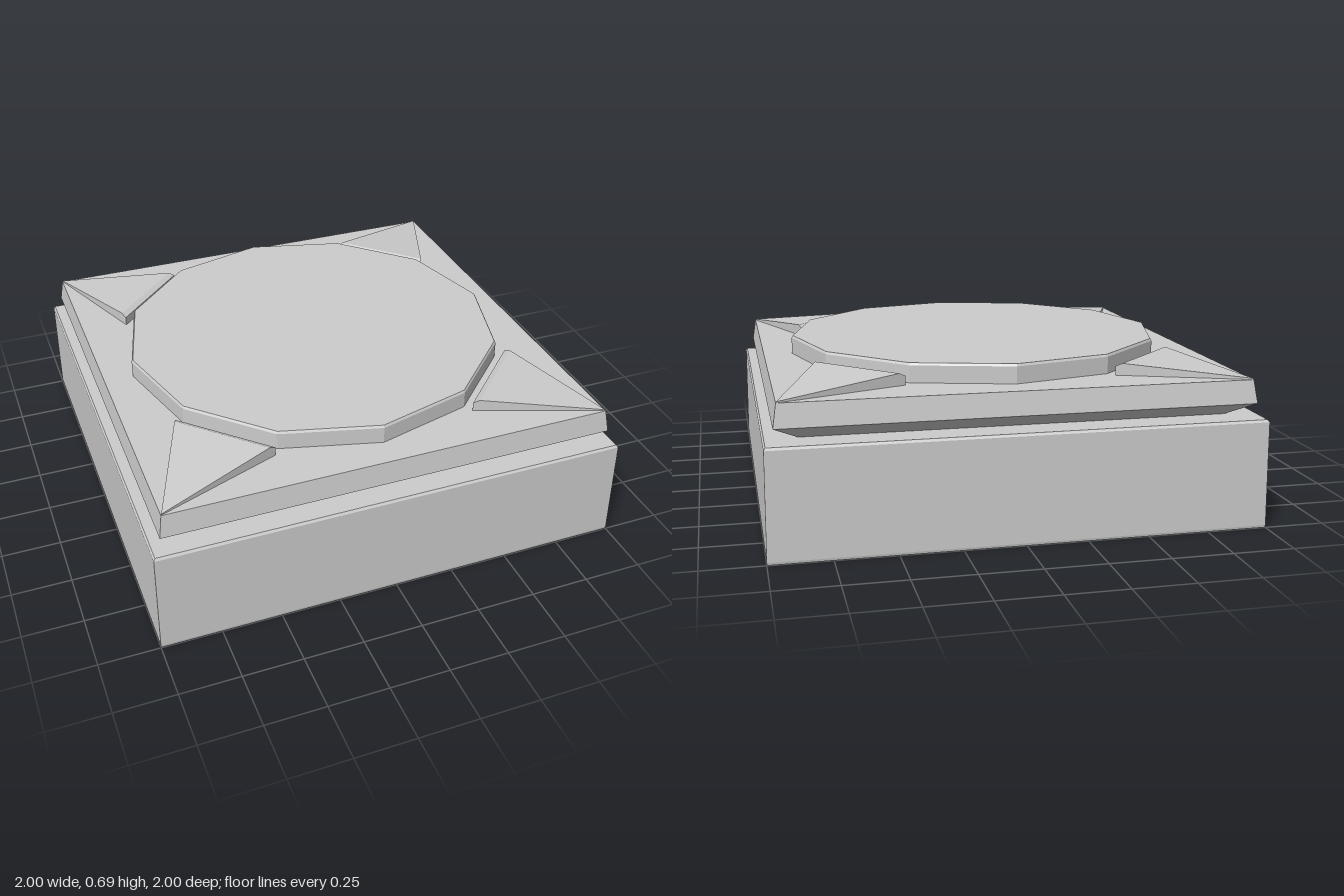
import * as THREE from 'three';
import { ConvexGeometry } from 'three/addons/geometries/ConvexGeometry.js';

const material = new THREE.MeshStandardMaterial({ color: 0xcccccc });

// Faceted turned solid: profile of [radius, y] from bottom to top
function faceted(name, profile, sides, phiStart = 0, scale = 1) {
  const points = profile.map(([r, y]) => new THREE.Vector2(r * scale, y));
  const geometry = new THREE.LatheGeometry(points, sides, phiStart).toNonIndexed();
  geometry.computeVertexNormals();
  const mesh = new THREE.Mesh(geometry, material);
  mesh.name = name;
  return mesh;
}

// Square solid: profile of [half width, y]
const square = (name, profile) => faceted(name, profile, 4, Math.PI / 4, Math.SQRT2);

export function createModel() {
  const model = new THREE.Group();
  model.name = 'pedestal';

  // Square block with a narrow chamfer around the top
  model.add(square('baseBlock', [[0, 0], [0.998, 0], [1, 0.01], [0.995, 0.44], [0.988, 0.45], [0, 0.45]]));

  // Square slab flaring out from an undercut neck
  model.add(square('upperSlab', [[0, 0.44], [0.86, 0.45], [0.957, 0.51], [0.942, 0.605], [0, 0.605]]));

  // Twelve-sided disc with a slightly softened rim
  model.add(faceted('disc', [[0, 0.6], [0.818, 0.6], [0.818, 0.675], [0.812, 0.685], [0, 0.685]], 12));

  // Four triangular wedges rising from the corners towards the disc
  const wedge = new ConvexGeometry([
    [0.94, 0.6, 0.94], [0.94, 0.61, 0.94],
    [0.43, 0.6, 0.745], [0.43, 0.643, 0.745], [0.455, 0.655, 0.755],
    [0.745, 0.6, 0.43], [0.745, 0.643, 0.43], [0.755, 0.655, 0.455],
  ].map((p) => new THREE.Vector3(...p)));
  for (let i = 0; i < 4; i++) {
    const mesh = new THREE.Mesh(wedge, material);
    mesh.name = 'cornerWedge';
    mesh.rotation.y = (i * Math.PI) / 2;
    model.add(mesh);
  }
  return model;
}
